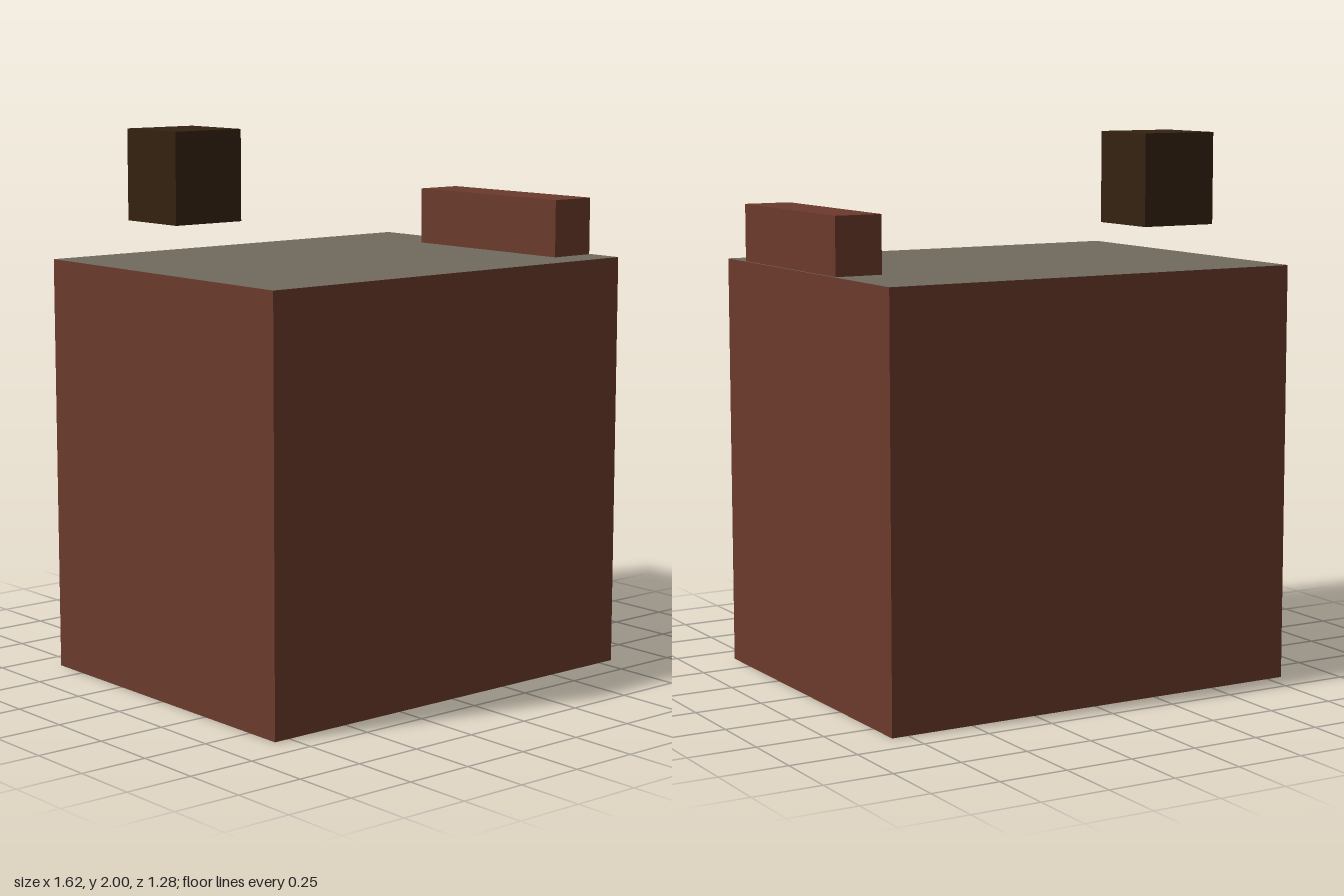
import * as THREE from 'three';

const material = (name, color) =>
  new THREE.MeshStandardMaterial({ name, color, side: THREE.DoubleSide });

// Box given by its extents, open underneath, with its own material on top
function openBox(name, [x0, x1], [y0, y1], [z0, z1], wall, top = wall) {
  const geometry = new THREE.BoxGeometry(x1 - x0, y1 - y0, z1 - z0);
  geometry.translate((x0 + x1) / 2, (y0 + y1) / 2, (z0 + z1) / 2);
  // Drop the bottom face: face order is +x, -x, +y, -y, +z, -z
  const index = Array.from(geometry.index.array);
  index.splice(18, 6);
  geometry.setIndex(index);
  geometry.clearGroups();
  geometry.addGroup(0, 12, 0);
  geometry.addGroup(12, 6, 1);
  geometry.addGroup(18, 12, 0);
  const mesh = new THREE.Mesh(geometry, [wall, top]);
  mesh.name = name;
  return mesh;
}

export function createModel() {
  const brick = material('brick', 0x6b3a2c);
  const roof = material('roofGrey', 0x716a5e);
  const darkBrown = material('darkBrown', 0x342210);

  const model = new THREE.Group();
  model.name = 'building';
  model.add(
    // Main block with a flat grey roof
    openBox('mainBlock', [-0.812, 0.812], [0, 1.525], [-0.638, 0.638], brick, roof),
    // Low brick housing along the left edge of the roof
    openBox('roofHousing', [0.626, 0.805], [1.525, 1.735], [-0.233, 0.497], brick),
    // Raised tank above the roof
    openBox('roofTank', [-0.612, -0.32], [1.668, 2], [-0.448, -0.158], darkBrown),
  );
  return model;
}
